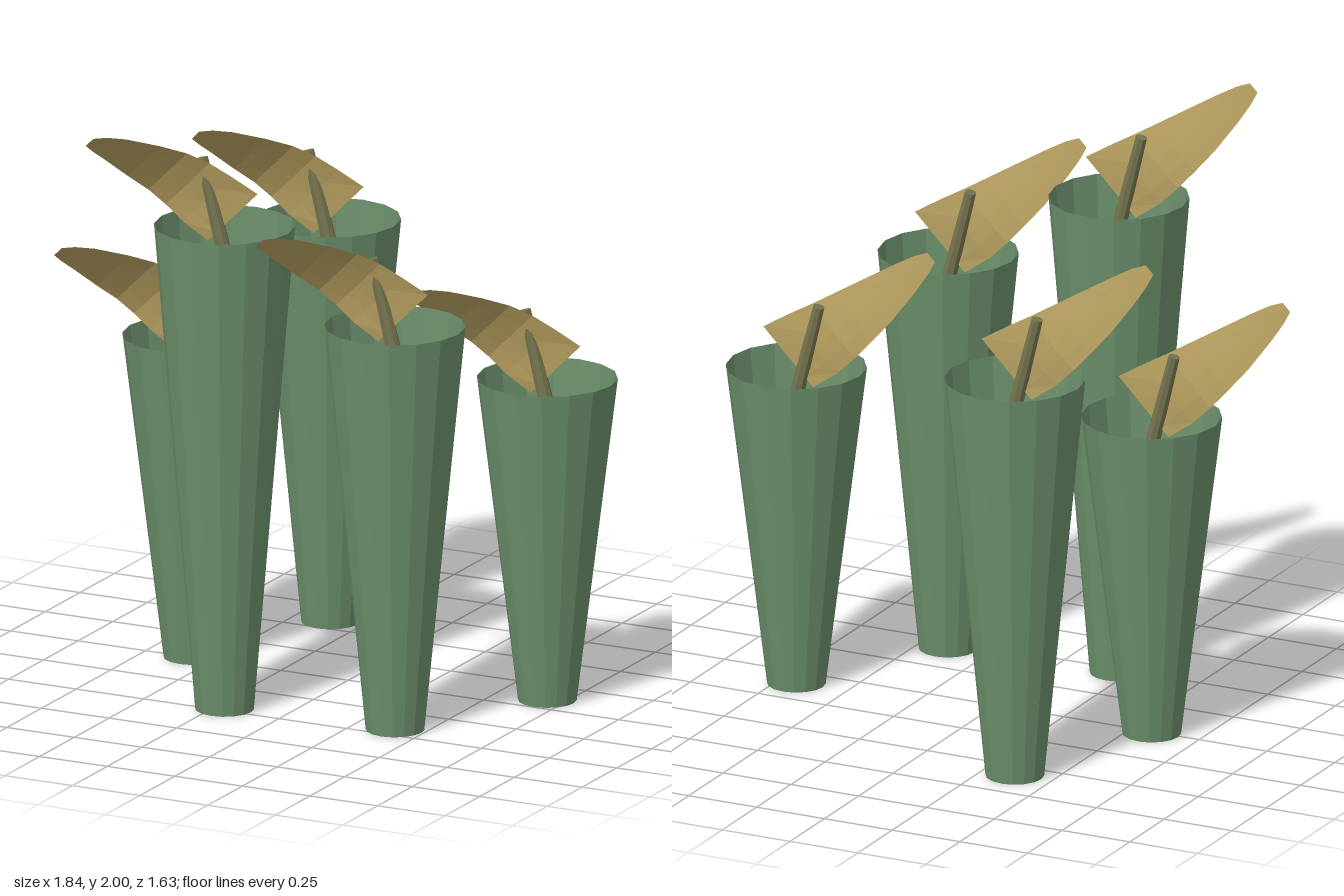
import * as THREE from 'three';

const green = new THREE.MeshStandardMaterial({ color: 0x6b8f6b, flatShading: true, side: THREE.DoubleSide });
green.name = 'vase green';
const gold = new THREE.MeshStandardMaterial({ color: 0xb39c5e, flatShading: true, side: THREE.DoubleSide });
gold.name = 'dry leaf gold';
const olive = new THREE.MeshStandardMaterial({ color: 0x74734e, flatShading: true });
olive.name = 'stem olive';

// Leaf stations from base to tip: [distance along, bend forward, upper half width, lower half width]
const stations = [
  [0.00, -0.004, 0.170, 0.090],
  [0.10, 0.004, 0.145, 0.107],
  [0.18, 0.022, 0.122, 0.107],
  [0.25, 0.062, 0.102, 0.100],
  [0.32, 0.132, 0.080, 0.087],
  [0.40, 0.228, 0.053, 0.060],
  [0.44, 0.290, 0.036, 0.040],
  [0.463, 0.332, 0.018, 0.022],
];

// A bent, slightly cupped blade that runs diagonally up to the right-hand side
function leafGeometry() {
  const across = 4;
  const geometry = new THREE.PlaneGeometry(1, 1, across, stations.length - 1);
  const position = geometry.attributes.position;
  for (let i = 0; i < position.count; i++) {
    const [along, bend, upper, lower] = stations[Math.floor(i / (across + 1))];
    const t = (i % (across + 1)) / across * 2 - 1;
    const w = t > 0 ? t * upper : t * lower;
    const cup = 0.012 * t * t * Math.min(1, along / 0.1) * (1 - along / 0.47);
    position.setXYZ(i, (w - along) * Math.SQRT1_2, (w + along) * Math.SQRT1_2, bend + cup);
  }
  geometry.computeVertexNormals();
  return geometry;
}

// A tapered rod between two points
function stemGeometry(bottom, top) {
  const direction = top.clone().sub(bottom);
  const geometry = new THREE.CylinderGeometry(0.02, 0.028, direction.length(), 8);
  const turn = new THREE.Quaternion().setFromUnitVectors(new THREE.Vector3(0, 1, 0), direction.normalize());
  geometry.applyQuaternion(turn);
  const middle = bottom.clone().add(top).multiplyScalar(0.5);
  return geometry.translate(middle.x, middle.y, middle.z);
}

function part(name, geometry, material, parent) {
  const mesh = new THREE.Mesh(geometry, material);
  mesh.name = name;
  parent.add(mesh);
  return mesh;
}

export function createModel() {
  const model = new THREE.Group();
  model.name = 'vaseCluster';
  const leaf = leafGeometry();
  const stem = stemGeometry(new THREE.Vector3(0.025, -0.2, 0), new THREE.Vector3(-0.083, 0.22, 0));

  // x, z and height of each vase
  const vases = [
    [-0.365, -0.583, 1.385],
    [-0.58, -0.01, 1.107],
    [-0.213, 0.477, 1.66],
    [0.395, 0.433, 1.385],
    [0.685, -0.1, 1.107],
  ];
  for (const [x, z, height] of vases) {
    const plant = new THREE.Group();
    plant.name = 'plantedVase';
    plant.position.set(x, 0, z);
    model.add(plant);

    // Open tube, wider at the rim
    const tube = new THREE.CylinderGeometry(0.233, 0.097, height, 16, 1, true);
    part('vase', tube, green, plant).position.y = height / 2;
    part('stem', stem, olive, plant).position.y = height;
    part('leaf', leaf, gold, plant).position.y = height;
  }
  return model;
}
